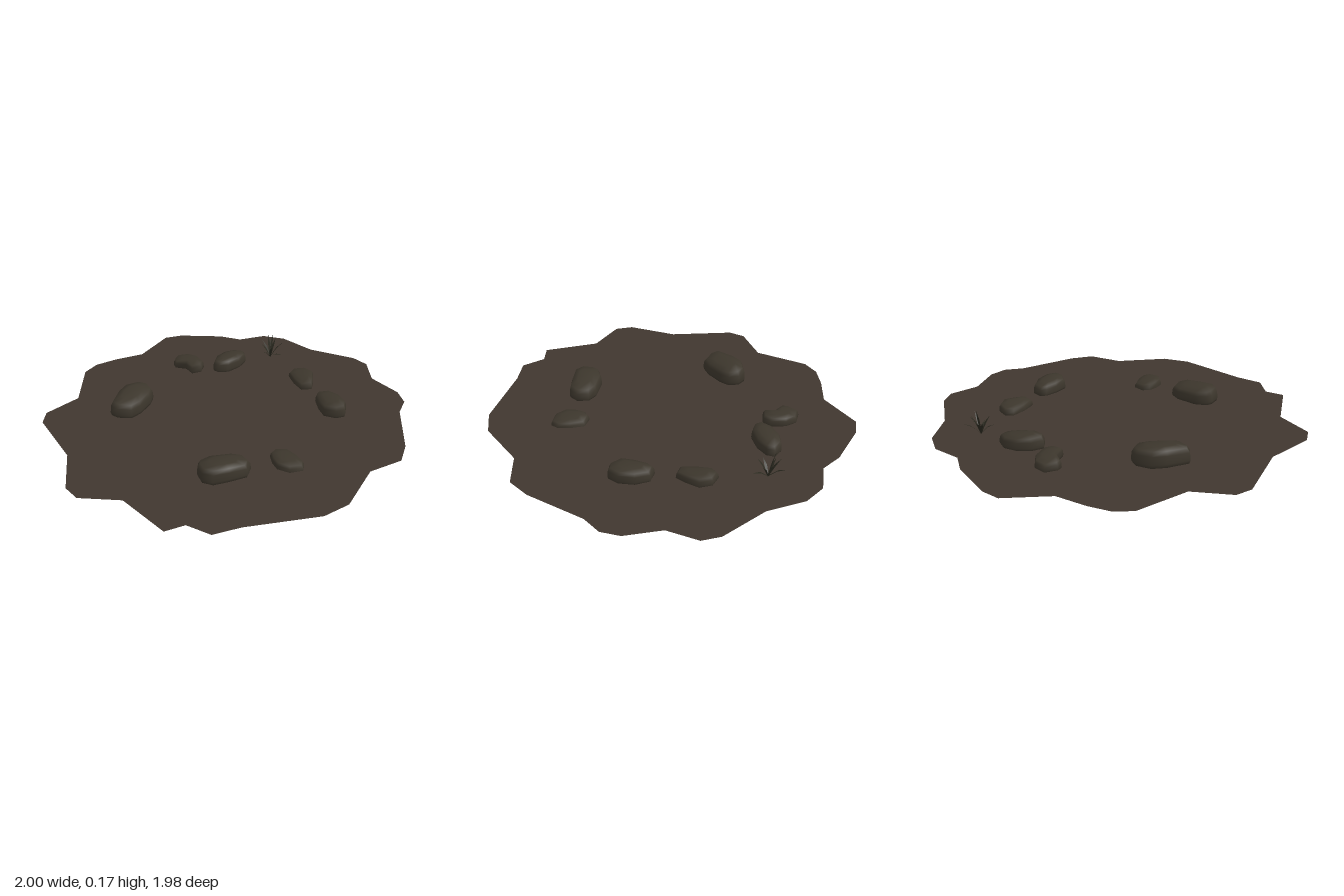
import * as THREE from 'three';

const GROUND_Y = 0.02;

// Turns a flat list x, z, x, z ... into points
function toPoints(list) {
  const points = [];
  for (let i = 0; i < list.length; i += 2) points.push(new THREE.Vector2(list[i], list[i + 1]));
  return points;
}

// A rounded boulder: its footprint is stacked in shrinking rings under a sloping top
function stoneGeometry(outline, base, top, slopeX, slopeZ) {
  const pts = toPoints(outline);
  if (!THREE.ShapeUtils.isClockWise(pts)) pts.reverse();
  const n = pts.length;
  const c = pts.reduce((s, p) => s.add(p), new THREE.Vector2()).divideScalar(n);
  const rings = [[0.94, 0], [1, 0.25], [0.97, 0.65], [0.87, 0.88], [0.5, 1]];
  const pos = [], index = [];
  for (const [scale, f] of rings) {
    for (const p of pts) {
      const dx = (p.x - c.x) * scale, dz = (p.y - c.y) * scale;
      const height = top + dx * slopeX + dz * slopeZ - base;
      pos.push(c.x + dx, base + height * f, c.y + dz);
    }
  }
  const bottom = rings.length * n, peak = bottom + 1, last = (rings.length - 1) * n;
  pos.push(c.x, base, c.y, c.x, top, c.y);
  for (let j = 0; j < n; j++) {
    const k = (j + 1) % n;
    for (let r = 0; r < rings.length - 1; r++) {
      const a = r * n + j, b = r * n + k;
      index.push(a, b, b + n, a, b + n, a + n);
    }
    index.push(bottom, k, j, peak, last + j, last + k);
  }
  const geo = new THREE.BufferGeometry();
  geo.setAttribute('position', new THREE.Float32BufferAttribute(pos, 3));
  geo.setIndex(index);
  geo.computeVertexNormals();
  return geo;
}

// A tapered blade that rises first and then leans out to its tip
function bladeGeometry(root, tip, width) {
  const mid = root.clone().lerp(tip, 0.5);
  mid.y += 0.012;
  const side = new THREE.Vector3(tip.z - root.z, 0, root.x - tip.x).normalize().multiplyScalar(width);
  const pos = [];
  for (const [p, w] of [[root, 0.6], [mid, 1]]) {
    for (const s of [-w, w]) pos.push(...p.clone().addScaledVector(side, s).toArray());
  }
  pos.push(...tip.toArray());
  const geo = new THREE.BufferGeometry();
  geo.setAttribute('position', new THREE.Float32BufferAttribute(pos, 3));
  geo.setIndex([0, 1, 3, 0, 3, 2, 2, 3, 4]);
  geo.computeVertexNormals();
  return geo;
}

export function createModel() {
  const model = new THREE.Group();
  model.name = 'stoneCircle';
  const earth = new THREE.MeshStandardMaterial({ color: 0x40372f, side: THREE.DoubleSide });
  earth.name = 'dark earth';
  const rock = new THREE.MeshStandardMaterial({ color: 0x3c362c });
  rock.name = 'dark stone';
  const leaf = new THREE.MeshStandardMaterial({ color: 0x2b2a20, side: THREE.DoubleSide });
  leaf.name = 'dry grass';

  // Flat ragged patch of ground
  const edge = toPoints([
    -1, 0, -0.99, -0.095, -0.83, -0.245, -0.815, -0.545, -0.755, -0.63, -0.645, -0.69,
    -0.485, -0.75, -0.34, -0.965, -0.24, -0.99, 0.01, -0.965, 0.13, -0.915, 0.285, -0.955,
    0.41, -0.91, 0.56, -0.755, 0.805, -0.63, 0.87, -0.55, 0.87, -0.375, 0.985, -0.21,
    1, -0.105, 0.95, 0, 0.905, 0.335, 0.855, 0.46, 0.68, 0.545, 0.53, 0.8,
    0.4, 0.88, 0.015, 0.94, -0.125, 0.985, -0.24, 0.91, -0.34, 0.95, -0.535, 0.71,
    -0.755, 0.68, -0.815, 0.6, -0.835, 0.32,
  ]);
  const flat = new THREE.ShapeGeometry(new THREE.Shape(edge.map((p) => new THREE.Vector2(p.x, -p.y))));
  flat.rotateX(-Math.PI / 2);
  const ground = new THREE.Mesh(flat, earth);
  ground.name = 'ground';
  ground.position.y = GROUND_Y;
  model.add(ground);

  // Ring of stones, slightly sunk in the ground
  const addStone = (name, outline, base, top, slopeX, slopeZ) => {
    const stone = new THREE.Mesh(stoneGeometry(outline, base, top, slopeX, slopeZ), rock);
    stone.name = name;
    model.add(stone);
  };
  addStone('rightStone', [-0.635, -0.05, -0.6, -0.02, -0.52, -0.01, -0.47, -0.06, -0.42, -0.15,
    -0.405, -0.21, -0.435, -0.265, -0.485, -0.28, -0.56, -0.24, -0.6, -0.17], 0.013, 0.112, -0.08, -0.07);
  addStone('frontStone', [-0.18, 0.535, -0.16, 0.595, -0.105, 0.62, -0.02, 0.595, 0.07, 0.56,
    0.09, 0.505, 0.06, 0.445, 0, 0.43, -0.12, 0.455, -0.175, 0.5], 0.013, 0.102, -0.04, 0.09);
  addStone('frontSmallStone', [0.195, 0.39, 0.22, 0.355, 0.285, 0.35, 0.335, 0.415, 0.36, 0.475,
    0.35, 0.52, 0.28, 0.535, 0.22, 0.5, 0.2, 0.445], 0, 0.056, -0.08, 0.04);
  addStone('leftStone', [0.5, -0.13, 0.515, -0.165, 0.575, -0.17, 0.63, -0.11, 0.655, -0.025,
    0.64, 0.035, 0.59, 0.05, 0.525, 0.02, 0.505, -0.055], 0.013, 0.088, 0.06, 0.04);
  addStone('leftSmallStone', [0.385, -0.425, 0.415, -0.465, 0.48, -0.46, 0.525, -0.405, 0.515, -0.325,
    0.5, -0.27, 0.44, -0.265, 0.405, -0.34], 0.013, 0.065, 0.12, -0.04);
  addStone('backRightStone', [-0.29, -0.6, -0.27, -0.665, -0.2, -0.675, -0.145, -0.635, -0.11, -0.56,
    -0.125, -0.51, -0.18, -0.49, -0.215, -0.55, -0.28, -0.57], 0.013, 0.07, 0.04, 0.04);
  addStone('backStone', [-0.055, -0.52, -0.04, -0.585, 0.015, -0.65, 0.08, -0.68, 0.14, -0.665,
    0.145, -0.62, 0.105, -0.555, 0.035, -0.5, -0.025, -0.495], 0.013, 0.09, -0.03, 0.04);

  // Tuft of grass: blades fan out from one root
  const tuft = new THREE.Group();
  tuft.name = 'grassTuft';
  const root = new THREE.Vector3(0.3, GROUND_Y, -0.68);
  const tips = [
    [0.285, 0.165, -0.71], [0.335, 0.125, -0.72], [0.375, 0.12, -0.67], [0.255, 0.11, -0.73],
    [0.36, 0.06, -0.62], [0.3, 0.11, -0.62], [0.24, 0.08, -0.63], [0.315, 0.1, -0.78],
    [0.245, 0.1, -0.7], [0.32, 0.14, -0.74],
  ];
  for (const tip of tips) {
    const blade = new THREE.Mesh(bladeGeometry(root, new THREE.Vector3(...tip), 0.007), leaf);
    blade.name = 'grassBlade';
    tuft.add(blade);
  }
  model.add(tuft);
  return model;
}
